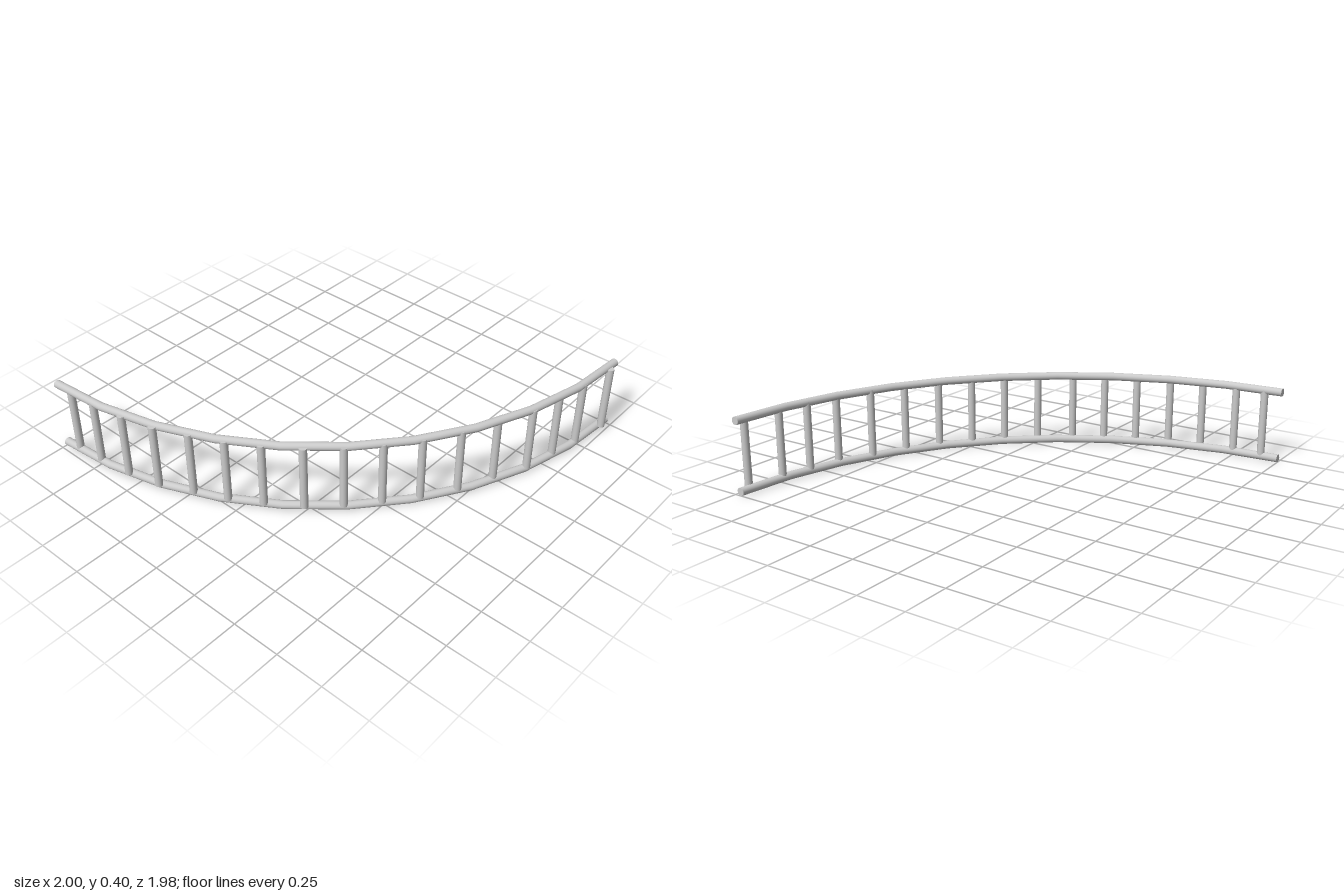
import * as THREE from 'three';

export function createModel() {
  const group = new THREE.Group();
  const material = new THREE.MeshStandardMaterial({ color: 0xcccccc });
  const add = (geometry, name, x, y, z, parent = group) => {
    const mesh = new THREE.Mesh(geometry, material);
    mesh.name = name;
    mesh.position.set(x, y, z);
    parent.add(mesh);
    return mesh;
  };

  // Two quarter-circle rails of ten straight segments, closed at both ends
  const bend = 1.963, railRadius = 0.021;
  const railGeometry = new THREE.TorusGeometry(bend, railRadius, 16, 10, Math.PI / 2).rotateX(Math.PI / 2);
  const capGeometry = new THREE.CircleGeometry(railRadius, 16);
  for (const [name, y] of [['lowerRail', railRadius], ['upperRail', 0.383]]) {
    const rail = new THREE.Group();
    rail.name = name;
    rail.position.set(-1, y, -1);
    group.add(rail);
    add(railGeometry, name + 'Tube', 0, 0, 0, rail);
    add(capGeometry, name + 'BackCap', bend, 0, 0, rail).rotation.y = Math.PI;
    add(capGeometry, name + 'SideCap', 0, 0, bend, rail).rotation.y = -Math.PI / 2;
  }

  // Upright rungs, slightly unevenly placed along the bend: [x, z]
  const rungs = [
    [-0.905, 0.955], [-0.75, 0.945], [-0.565, 0.925], [-0.39, 0.885], [-0.225, 0.81], [-0.065, 0.735],
    [0.085, 0.645], [0.245, 0.535], [0.38, 0.405], [0.5, 0.265], [0.615, 0.12], [0.715, -0.045],
    [0.795, -0.225], [0.875, -0.4], [0.91, -0.575], [0.945, -0.735], [0.98, -0.93],
  ];
  const rungGeometry = new THREE.CylinderGeometry(0.02, 0.02, 0.36, 16);
  rungs.forEach(([x, z], i) => add(rungGeometry, 'rung' + (i + 1), x, 0.208, z));

  return group;
}
